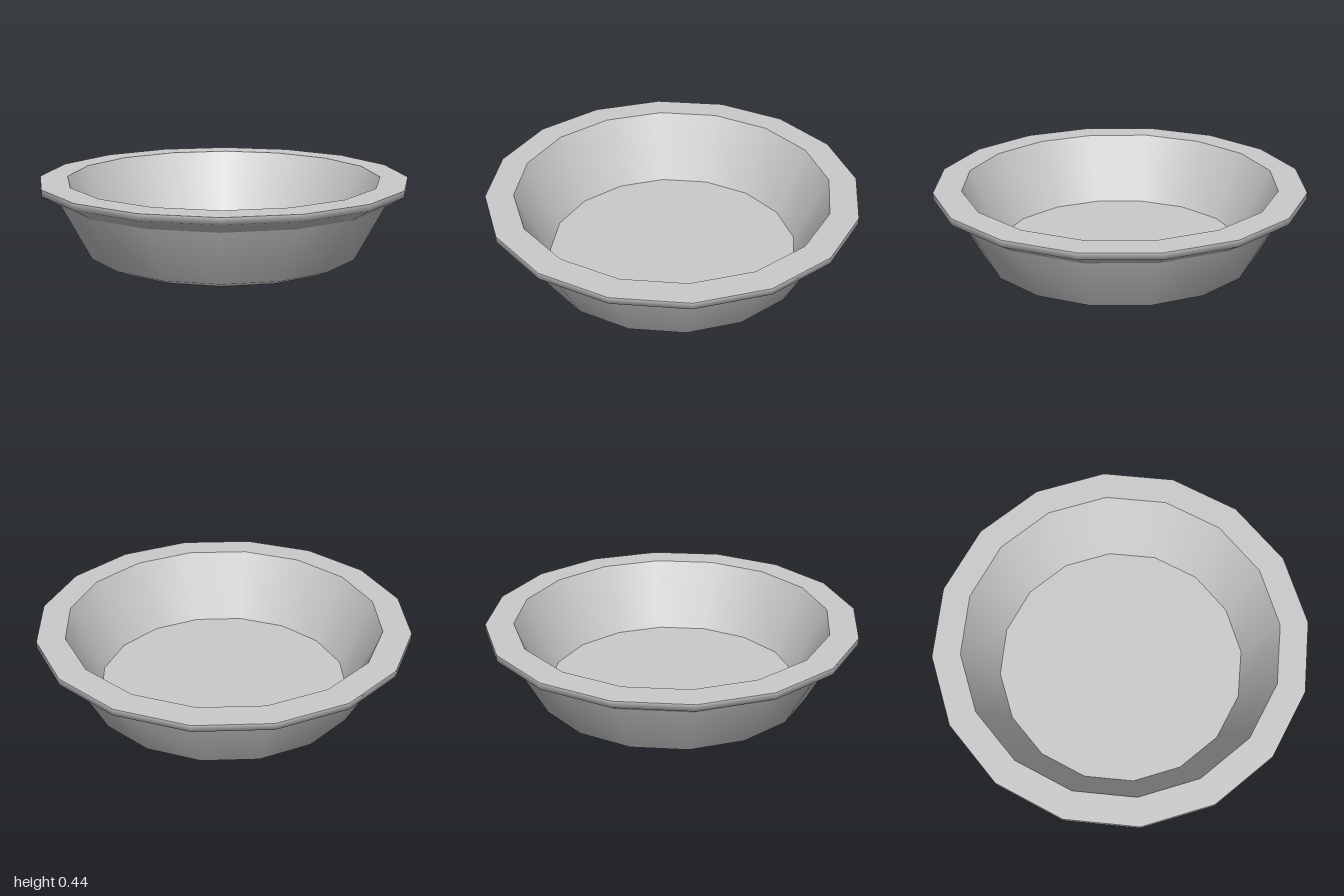
import * as THREE from 'three';

const SIDES = 16;

export function createModel() {
  const model = new THREE.Group();
  model.name = 'bowl';
  const material = new THREE.MeshStandardMaterial({ color: 0xcccccc });

  // One turned surface per part: smooth inside a part, sharp where parts meet
  const turn = (name, profile) => {
    const points = profile.map(([r, y]) => new THREE.Vector2(r, y));
    const mesh = new THREE.Mesh(new THREE.LatheGeometry(points, SIDES), material);
    mesh.name = name;
    model.add(mesh);
  };

  // Flat round surfaces
  const disc = (name, radius, y, tilt) => {
    const geometry = new THREE.CircleGeometry(radius, SIDES).rotateX(tilt);
    const mesh = new THREE.Mesh(geometry, material);
    mesh.name = name;
    mesh.position.y = y;
    model.add(mesh);
  };

  // Outside, from the foot up to the lip
  disc('base', 0.57, 0, Math.PI / 2);
  turn('outerWall', [[0.57, 0], [0.68, 0.02], [0.745, 0.05], [0.9, 0.345]]);
  turn('rimEdge', [[0.9, 0.345], [1, 0.405], [1, 0.44]]);

  // Flat lip, then the inside down to the floor
  turn('rimTop', [[1, 0.44], [0.85, 0.44]]);
  turn('innerWall', [[0.85, 0.44], [0.68, 0.07]]);
  disc('floor', 0.68, 0.07, -Math.PI / 2);

  return model;
}
